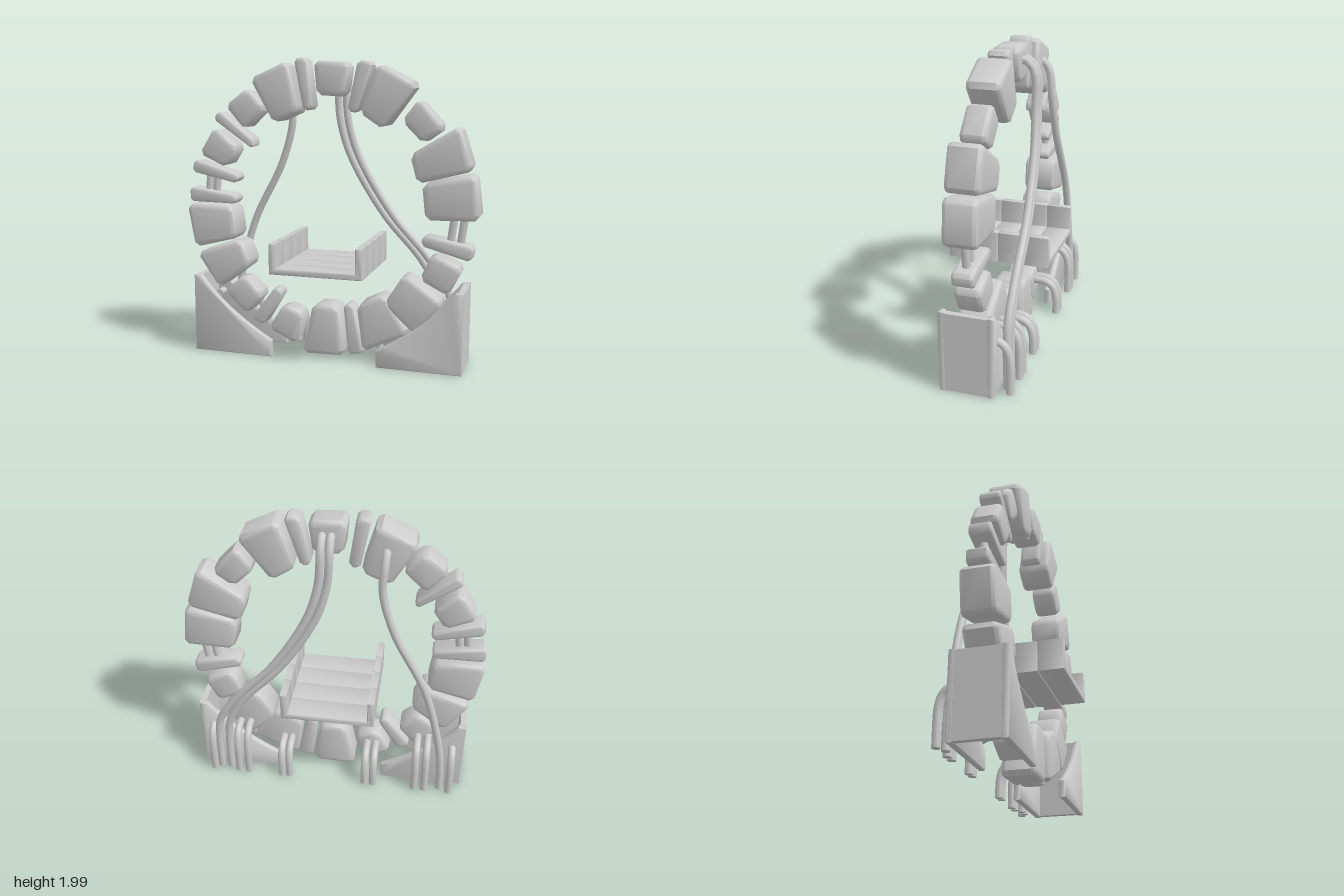
import * as THREE from 'three';
import { toCreasedNormals } from 'three/addons/utils/BufferGeometryUtils.js';

const material = new THREE.MeshStandardMaterial({ color: 0xcccccc, side: THREE.DoubleSide });

// Ring blocks: four corners (x, y) in the front plane, then half depth in z
const LEFT_BLOCKS = [
  [-0.09, 1.97, 0.15, 1.96, 0.12, 1.74, -0.07, 1.75, 0.09],
  [0.20, 1.97, 0.30, 1.96, 0.20, 1.635, 0.13, 1.65, 0.07],
  [0.33, 1.95, 0.59, 1.82, 0.38, 1.535, 0.22, 1.64, 0.11],
  [0.60, 1.735, 0.77, 1.55, 0.63, 1.45, 0.49, 1.59, 0.085],
  [0.86, 1.57, 0.95, 1.29, 0.60, 1.20, 0.55, 1.38, 0.11],
  [0.965, 1.27, 1.0, 0.98, 0.655, 0.97, 0.63, 1.20, 0.11],
  [0.64, 0.87, 0.965, 0.81, 0.945, 0.71, 0.62, 0.80, 0.07],
  [0.70, 0.755, 0.90, 0.67, 0.805, 0.485, 0.62, 0.58, 0.09],
  [0.525, 0.615, 0.785, 0.44, 0.595, 0.22, 0.39, 0.40, 0.11],
  [0.395, 0.47, 0.565, 0.22, 0.25, 0.07, 0.21, 0.38, 0.11],
  [0.175, 0.38, 0.255, 0.05, 0.145, 0.03, 0.11, 0.37, 0.07],
  [-0.095, 0.365, 0.085, 0.365, 0.13, 0.03, -0.165, 0.02, 0.11],
];
const RIGHT_BLOCKS = [
  [-0.31, 0.34, -0.16, 0.295, -0.22, 0.07, -0.42, 0.165, 0.09],
  [-0.37, 0.46, -0.315, 0.42, -0.46, 0.18, -0.55, 0.22, 0.07],
  [-0.595, 0.53, -0.45, 0.40, -0.58, 0.25, -0.74, 0.405, 0.09],
  [-0.61, 0.78, -0.53, 0.61, -0.77, 0.43, -0.935, 0.665, 0.11],
  [-0.66, 1.005, -0.63, 0.785, -0.945, 0.705, -1.0, 1.005, 0.11],
  [-0.99, 1.12, -0.645, 1.075, -0.65, 1.015, -0.99, 1.02, 0.07],
  [-0.955, 1.31, -0.625, 1.215, -0.645, 1.155, -0.97, 1.225, 0.07],
  [-0.795, 1.535, -0.62, 1.40, -0.71, 1.26, -0.91, 1.35, 0.09],
  [-0.765, 1.645, -0.51, 1.45, -0.525, 1.39, -0.805, 1.585, 0.07],
  [-0.555, 1.795, -0.42, 1.665, -0.575, 1.515, -0.715, 1.675, 0.085],
  [-0.525, 1.855, -0.265, 1.97, -0.175, 1.645, -0.36, 1.565, 0.11],
  [-0.23, 1.985, -0.14, 1.99, -0.095, 1.66, -0.165, 1.645, 0.07],
];

function addMesh(parent, geometry, name) {
  const mesh = new THREE.Mesh(geometry, material);
  mesh.name = name;
  parent.add(mesh);
  return mesh;
}

// Extrudes a shape from z0 to z1 with a bevel kept inside the outline
function slab(shape, z0, z1, bevel, segments = 1) {
  const geometry = new THREE.ExtrudeGeometry(shape, {
    depth: z1 - z0 - 2 * bevel, bevelThickness: bevel, bevelSize: bevel,
    bevelOffset: -bevel, bevelSegments: segments, curveSegments: 10,
  });
  geometry.translate(0, 0, z0 + bevel);
  return toCreasedNormals(geometry, 0.85);
}

// Stone wedge with clipped corners and bevelled faces
function blockGeometry(data) {
  const corners = [0, 2, 4, 6].map((i) => new THREE.Vector2(data[i], data[i + 1]));
  const shortest = Math.min(...corners.map((c, i) => c.distanceTo(corners[(i + 1) % 4])));
  const cut = Math.min(0.032, shortest * 0.33);
  const points = [];
  corners.forEach((c, i) => {
    for (const other of [corners[(i + 3) % 4], corners[(i + 1) % 4]]) {
      points.push(c.clone().add(other.clone().sub(c).setLength(cut)));
    }
  });
  const half = data[8];
  return slab(new THREE.Shape(points), -half, half, Math.min(0.03, shortest * 0.28), 2);
}

// Round pipe through the given points, closed with a disc at both ends
function addPipe(parent, name, points, radius = 0.026) {
  const curve = new THREE.CatmullRomCurve3(points.map((p) => new THREE.Vector3(...p)), false, 'centripetal');
  const pipe = new THREE.Group();
  pipe.name = name;
  addMesh(pipe, new THREE.TubeGeometry(curve, 40, radius, 10), 'pipeBody');
  for (const t of [0, 1]) {
    const cap = addMesh(pipe, new THREE.CircleGeometry(radius, 10), 'pipeEnd');
    const end = curve.getPoint(t);
    cap.position.copy(end);
    cap.lookAt(end.clone().addScaledVector(curve.getTangent(t), t ? 1 : -1));
  }
  parent.add(pipe);
}

// Hollow corner support: two curved plates joined by an outer wall
function makeButtress(side) {
  const group = new THREE.Group();
  group.name = side > 0 ? 'leftButtress' : 'rightButtress';
  const shape = new THREE.Shape();
  shape.moveTo(side * 0.92, 0);
  shape.lineTo(side * 0.92, 0.53);
  shape.lineTo(side * 0.87, 0.53);
  shape.quadraticCurveTo(side * 0.70, 0.30, side * 0.36, 0.11);
  shape.lineTo(side * 0.36, 0);
  addMesh(group, slab(shape, 0.13, 0.175, 0.008), 'frontPlate');
  addMesh(group, slab(shape, -0.175, -0.13, 0.008), 'backPlate');
  const wall = addMesh(group, new THREE.BoxGeometry(0.04, 0.52, 0.33), 'outerWall');
  wall.position.set(side * 0.9, 0.265, 0);
  return group;
}

// Walkway of four U-shaped sections laid end to end along z
function makeWalkway() {
  const group = new THREE.Group();
  group.name = 'walkway';
  const outline = [[-0.31, 0.61], [0.31, 0.61], [0.31, 0.81], [0.265, 0.81],
    [0.265, 0.65], [-0.265, 0.65], [-0.265, 0.81], [-0.31, 0.81]];
  const shape = new THREE.Shape(outline.map(([x, y]) => new THREE.Vector2(x, y)));
  const length = 0.1675;
  for (let i = 0; i < 4; i++) {
    const z = -0.335 + i * length;
    addMesh(group, slab(shape, z, z + length, 0.006), 'walkwaySection');
  }
  return group;
}

export function createModel() {
  const model = new THREE.Group();
  model.name = 'stoneRingGate';

  const ring = new THREE.Group();
  ring.name = 'ring';
  for (const data of [...LEFT_BLOCKS, ...RIGHT_BLOCKS]) addMesh(ring, blockGeometry(data), 'ringBlock');
  model.add(ring, makeButtress(1), makeButtress(-1), makeWalkway());

  const pipes = new THREE.Group();
  pipes.name = 'pipes';
  model.add(pipes);

  // Long pipes from the top of the ring to the ground
  for (const [dx, end] of [[0, 0.715], [0.055, 0.785]]) {
    addPipe(pipes, 'longLeftPipe', [
      [0.005 + dx, 1.88, -0.06], [0.005 + dx, 1.87, -0.12], [0.005 + dx, 1.8, -0.165],
      [0.02 + dx, 1.58, -0.175], [0.09 + dx, 1.34, -0.19], [0.32 + dx, 0.95, -0.21],
      [0.58 + dx, 0.65, -0.215], [end - 0.02, 0.44, -0.215], [end, 0.3, -0.215], [end, 0, -0.22]]);
  }
  addPipe(pipes, 'longRightPipe', [
    [-0.33, 1.81, -0.06], [-0.33, 1.8, -0.12], [-0.325, 1.73, -0.16], [-0.32, 1.57, -0.175],
    [-0.4, 1.29, -0.19], [-0.62, 0.86, -0.21], [-0.74, 0.42, -0.215], [-0.77, 0.2, -0.22], [-0.775, 0, -0.22]]);

  // Short pipes bending out of the lower blocks into the ground
  const drops = [[0.58, 0.36], [0.65, 0.36], [0.83, 0.36], [0.285, 0.25], [0.34, 0.25],
    [-0.31, 0.25], [-0.25, 0.25], [-0.67, 0.36], [-0.6, 0.36], [-0.84, 0.36]];
  for (const [x, h] of drops) {
    addPipe(pipes, 'shortPipe', [[x, h - 0.01, -0.06], [x, h - 0.015, -0.17],
      [x, h - 0.05, -0.22], [x, h - 0.12, -0.245], [x, 0, -0.25]]);
  }

  // Struts bridging the gaps in the ring
  for (const x of [0.815, 0.88]) addPipe(pipes, 'gapStrut', [[x + 0.015, 1.0, 0], [x - 0.015, 0.78, 0]]);
  for (const x of [-0.865, -0.81]) addPipe(pipes, 'gapStrut', [[x + 0.01, 1.24, 0], [x - 0.01, 1.06, 0]]);

  return model;
}
